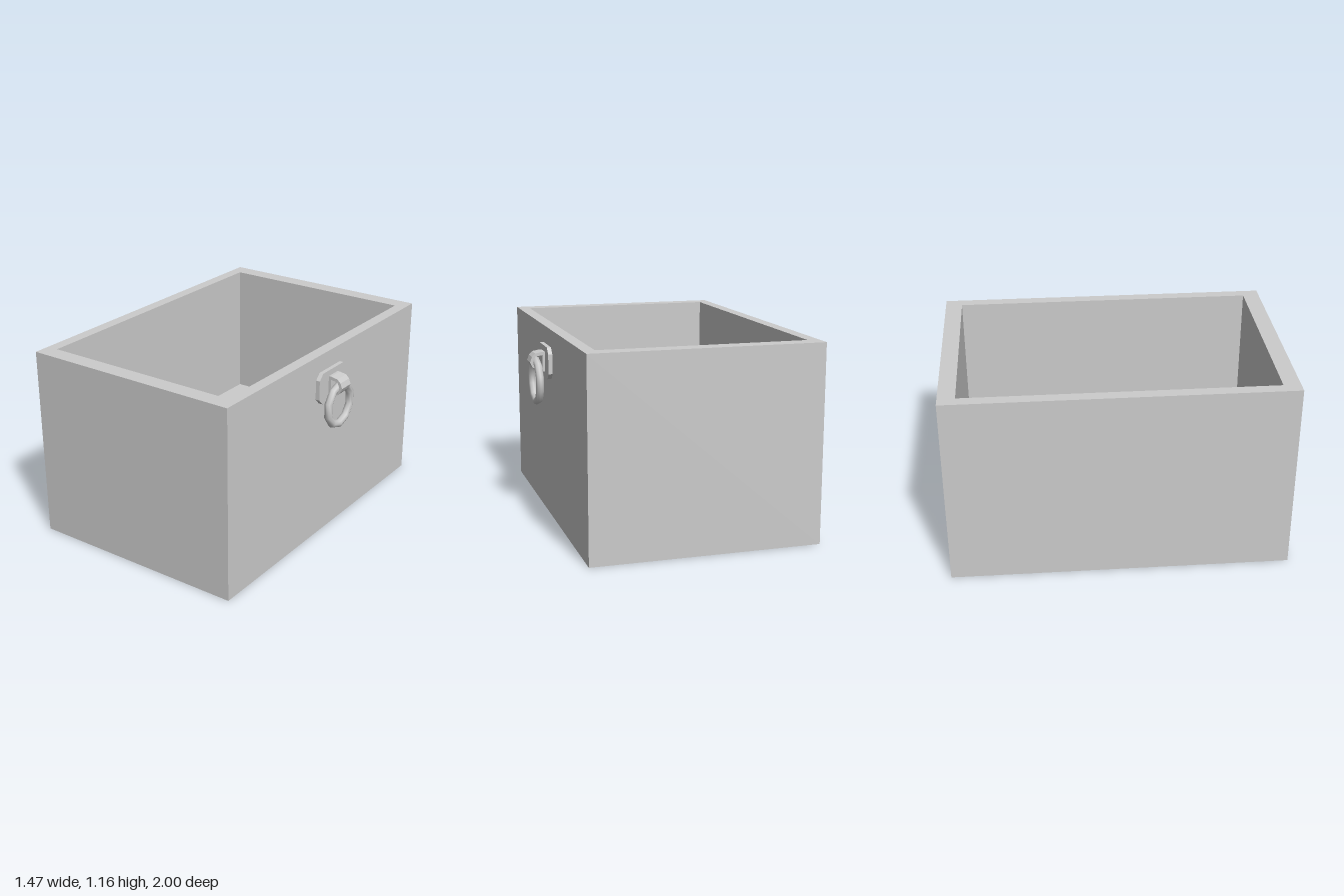
import * as THREE from 'three';

const grey = new THREE.MeshStandardMaterial({ color: 0xcccccc });
const toPoints = (list) => list.map(([x, y]) => new THREE.Vector2(x, y));
const rect = (x0, x1, y0, y1) => toPoints([[x0, y0], [x1, y0], [x1, y1], [x0, y1]]);

// Straight extrusion of an outline, with an optional hole
function extrude(outline, depth, hole) {
  const shape = new THREE.Shape(outline);
  if (hole) shape.holes.push(new THREE.Path(hole));
  return new THREE.ExtrudeGeometry(shape, { depth, bevelEnabled: false });
}

export function createModel() {
  const model = new THREE.Group();
  const add = (parent, name, geometry) => {
    const mesh = new THREE.Mesh(geometry, grey);
    mesh.name = name;
    parent.add(mesh);
    return mesh;
  };

  // Four walls as one rectangular tube, open above and below
  const walls = extrude(rect(-0.735, 0.615, -1, 1), 1.16, rect(-0.665, 0.545, -0.9, 0.9));
  add(model, 'walls', walls.rotateX(-Math.PI / 2));

  // Raised floor, recessed from underneath
  add(model, 'floor', new THREE.BoxGeometry(1.21, 0.13, 1.8)).position.set(-0.06, 0.255, 0);

  const handle = new THREE.Group();
  handle.name = 'handle';
  model.add(handle);

  // Backing plate with clipped corners
  const w = 0.146, h = 0.095, c = 0.036;
  const plate = extrude(toPoints([
    [-w, -h + c], [-w + c, -h], [w - c, -h], [w, -h + c],
    [w, h - c], [w - c, h], [-w + c, h], [-w, h - c],
  ]), 0.025);
  add(handle, 'plate', plate.rotateY(Math.PI / 2)).position.set(0.615, 0.96, 0);

  // Curled strap that holds the ring
  const strap = extrude(toPoints([
    [0.638, 0.9], [0.655, 0.9], [0.7, 0.915], [0.718, 0.934], [0.73, 0.96],
    [0.718, 0.992], [0.698, 1.012], [0.655, 1.02], [0.638, 1.02],
  ]), 0.096, toPoints([
    [0.655, 0.918], [0.695, 0.93], [0.712, 0.96], [0.698, 0.994], [0.655, 1.0],
  ]));
  add(handle, 'strap', strap).position.z = -0.048;

  // Ten-sided hanging ring
  const ring = new THREE.TorusGeometry(0.124, 0.024, 8, 10);
  ring.rotateZ(Math.PI / 2).rotateY(Math.PI / 2);
  add(handle, 'ring', ring).position.set(0.686, 0.84, 0);

  return model;
}
